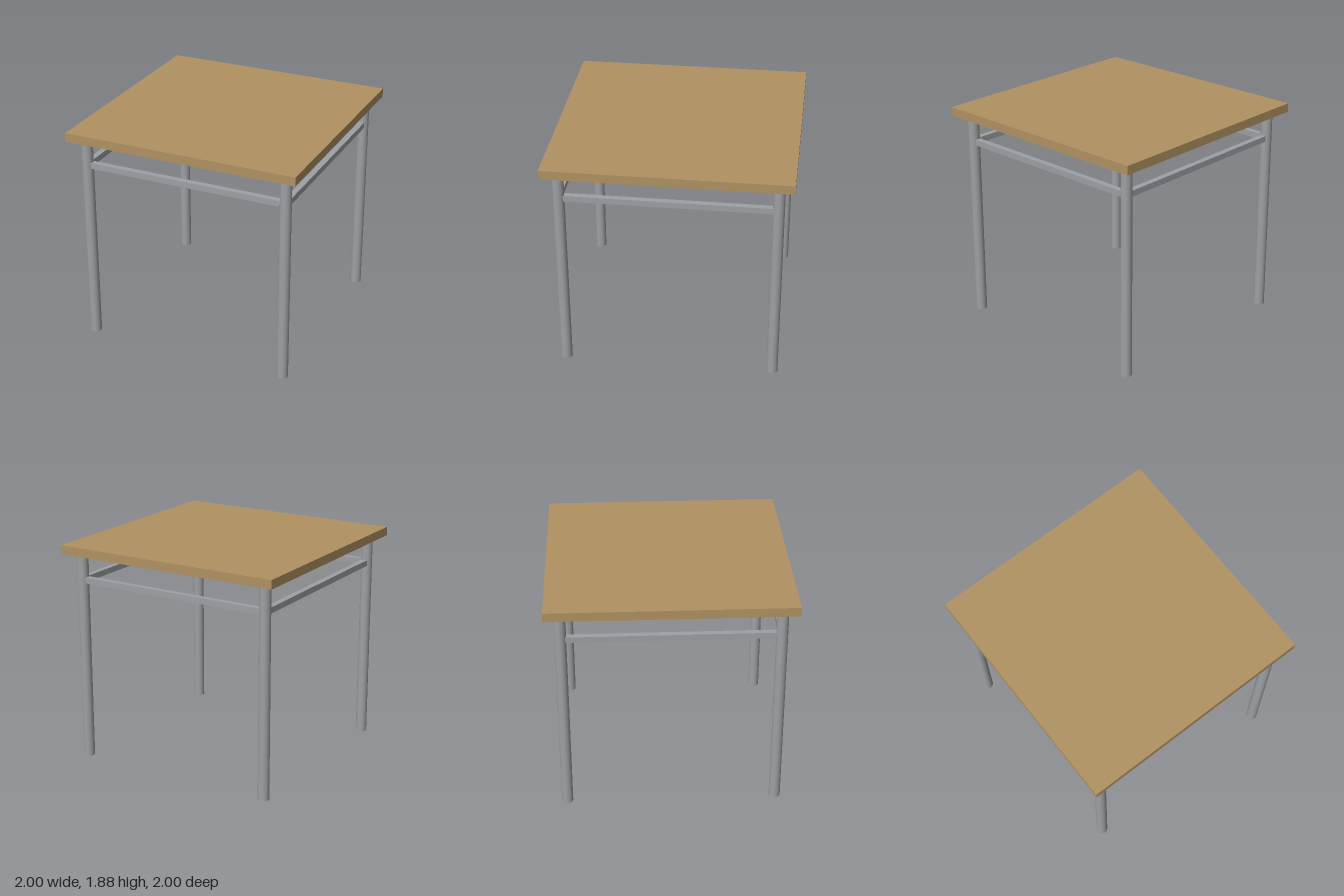
import * as THREE from 'three';

export function createModel() {
  const model = new THREE.Group();
  model.name = 'table';
  const wood = new THREE.MeshStandardMaterial({ color: 0xb09262 });
  const metal = new THREE.MeshStandardMaterial({ color: 0x9da0a4 });

  const height = 1.875, topThickness = 0.075, legHeight = height - topThickness;
  const legOffset = 0.875, legRadius = 0.047;

  const add = (name, geometry, material, x, y, z) => {
    const mesh = new THREE.Mesh(geometry, material);
    mesh.name = name;
    mesh.position.set(x, y, z);
    model.add(mesh);
  };

  // Square table top
  add('tableTop', new THREE.BoxGeometry(2, topThickness, 2), wood, 0, height - topThickness / 2, 0);

  // Round legs at the four corners
  const legGeometry = new THREE.CylinderGeometry(legRadius, legRadius, legHeight, 32);
  for (const [side, sx] of [['Left', 1], ['Right', -1]]) {
    for (const [end, sz] of [['front', 1], ['back', -1]]) {
      add(`${end}${side}Leg`, legGeometry, metal, sx * legOffset, legHeight / 2, sz * legOffset);
    }
  }

  // Square rails joining the legs, ends set just inside the leg surfaces
  const railLength = 1.67, railSize = 0.05, railY = 1.575;
  const railX = new THREE.BoxGeometry(railLength, railSize, railSize);
  const railZ = new THREE.BoxGeometry(railSize, railSize, railLength);
  add('frontRail', railX, metal, 0, railY, legOffset);
  add('backRail', railX, metal, 0, railY, -legOffset);
  add('leftRail', railZ, metal, legOffset, railY, 0);
  add('rightRail', railZ, metal, -legOffset, railY, 0);

  return model;
}
